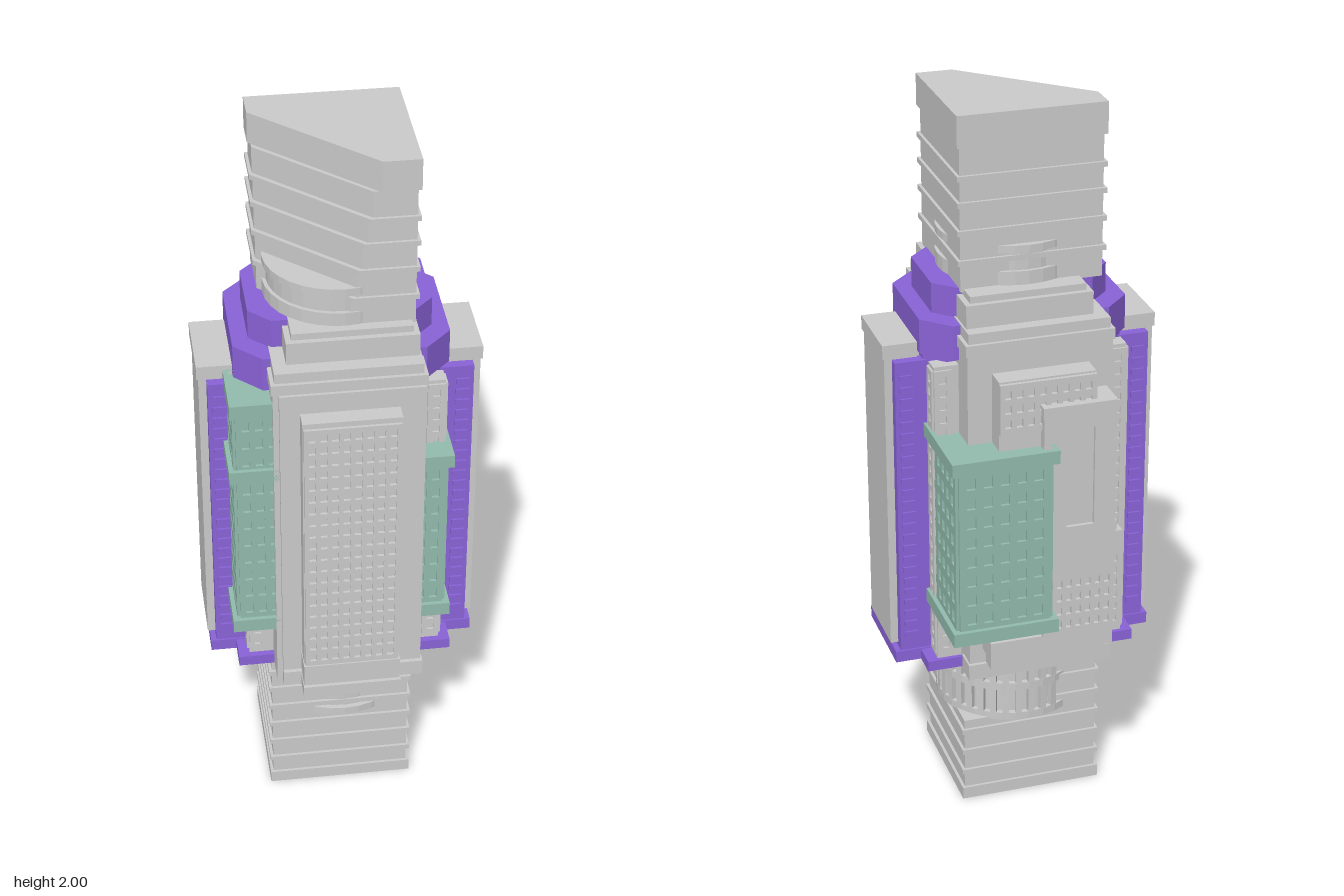
import * as THREE from 'three';

const grey = new THREE.MeshStandardMaterial({ color: 0xcccccc, flatShading: true });
const purple = new THREE.MeshStandardMaterial({ color: 0x8a63d8, flatShading: true });
const green = new THREE.MeshStandardMaterial({ color: 0x93bcae, flatShading: true });

export function createModel() {
  const model = new THREE.Group();
  model.name = 'tower';

  const add = (name, geo, mat) => {
    const m = new THREE.Mesh(geo, mat);
    m.name = name;
    model.add(m);
    return m;
  };
  // box given by its ranges in x, y and z
  const box = (name, mat, [x0, x1], [y0, y1], [z0, z1]) => {
    const a = Math.min(x0, x1), b = Math.max(x0, x1);
    const g = new THREE.BoxGeometry(b - a, y1 - y0, Math.abs(z1 - z0));
    add(name, g, mat).position.set((a + b) / 2, (y0 + y1) / 2, (z0 + z1) / 2);
  };
  // upright prism from an (x, z) outline, optionally with a hole
  const prism = (name, mat, pts, y0, y1, hole) => {
    const flip = (l) => l.map(([x, z]) => new THREE.Vector2(x, -z));
    const s = new THREE.Shape(flip(pts));
    if (hole) s.holes.push(new THREE.Path(flip(hole)));
    const g = new THREE.ExtrudeGeometry(s, { depth: y1 - y0, bevelEnabled: false });
    g.rotateX(-Math.PI / 2).translate(0, y0, 0);
    add(name, g, mat);
  };
  const rect = (x0, x1, z0, z1, i = 0) =>
    [[x0 + i, z0 + i], [x1 - i, z0 + i], [x1 - i, z1 - i], [x0 + i, z1 - i]];
  // window grid: bars standing proud of a wall on the plane x = at or z = at
  const facade = (name, mat, axis, at, depth, [u0, u1], [y0, y1], nu, ny, fill = 0.45) => {
    const put = (u, y) => axis === 'z'
      ? box(name, mat, u, y, [at, at + depth])
      : box(name, mat, [at, at + depth], y, u);
    const du = (u1 - u0) / (nu + fill), dy = (y1 - y0) / (ny + fill);
    for (let i = 0; i <= nu; i++) put([u0 + i * du, u0 + (i + fill) * du], [y0, y1]);
    for (let j = 0; j <= ny; j++) put([u0, u1], [y0 + j * dy, y0 + (j + fill) * dy]);
  };
  // tray with a raised rim
  const tray = (name, mat, x, y, z) => {
    box(name, mat, x, [y[0], y[1] - 0.015], z);
    prism(name + 'Rim', mat, rect(...x, ...z), y[1] - 0.015, y[1], rect(...x, ...z, 0.012));
  };

  // lower shaft, with its back corner cut away for the round gallery
  const X0 = -0.21, X1 = 0.187, Z0 = -0.152, Z1 = 0.22;
  const shaft = (cut, i) => [[X0 + i, Z0 + i], [X1 - i - cut, Z0 + i],
    [X1 - i, Z0 + i + cut], [X1 - i, Z1 - i], [X0 + i, Z1 - i]];
  prism('lowerShaft', grey, rect(X0, X1, Z0, Z1, 0.008), 0, 0.25);
  prism('lowerShaft', grey, shaft(0.17, 0.008), 0.25, 0.46);
  box('footBand', grey, [X0, X1], [0, 0.035], [Z0, Z1]);
  for (const y of [0.08, 0.145, 0.21]) prism('lowerBand', grey, rect(X0, X1, Z0, Z1), y, y + 0.014);
  for (const y of [0.275, 0.34, 0.4]) prism('lowerBand', grey, shaft(0.17, 0), y, y + 0.014);

  // round galleries
  const ring = (name, r, y0, y1) =>
    add(name, new THREE.CylinderGeometry(r, r, y1 - y0, 32), grey).position.set(0, (y0 + y1) / 2, 0.028);
  ring('lowerGallery', 0.19, 0.25, 0.46);
  for (const y of [0.245, 0.34, 0.43]) ring('lowerGalleryRing', 0.204, y, y + 0.022);
  for (let i = 0; i < 14; i++) {
    const a = -0.35 + (i / 13) * 2.3;
    const p = add('galleryPost', new THREE.BoxGeometry(0.02, 0.2, 0.018), grey);
    p.position.set(Math.cos(a) * 0.193, 0.35, 0.028 - Math.sin(a) * 0.193);
    p.rotation.y = a;
  }
  ring('upperGallery', 0.18, 1.53, 1.645);
  ring('upperGalleryRing', 0.19, 1.53, 1.575);
  ring('upperGalleryRing', 0.19, 1.625, 1.645);

  // upper shaft: the slanting cut at the front corner deepens in steps
  const spire = (y, i) => {
    const t = (y - 1.53) / 0.47;
    return [[X0 + i, Z0 + i], [X1 - i, Z0 + i], [X1 - i, Z1 - i],
      [0.005 + 0.085 * t + i, Z1 - i], [X0 + i, 0.02 - 0.09 * t - i]];
  };
  const steps = [1.53, 1.61, 1.69, 1.765, 1.835, 1.915];
  steps.forEach((y, k) => {
    if (k < 5) prism('upperShaft', grey, spire(y, 0.008), y, steps[k + 1]);
    if (k > 0 && k < 5) prism('upperBand', grey, spire(y, 0), y - 0.007, y + 0.007);
  });
  prism('shaftCap', grey, spire(2, 0), 1.915, 2);

  // main block and crown tiers
  box('mainBlock', grey, [-0.195, 0.195], [0.455, 1.43], [-0.255, 0.3]);
  prism('mainCornice', grey, rect(-0.2, 0.2, -0.26, 0.305), 1.4, 1.43);
  prism('mainCornice', grey, rect(-0.19, 0.19, -0.25, 0.295), 1.43, 1.458);
  prism('crownTier', grey, rect(-0.155, 0.185, -0.215, 0.255), 1.45, 1.52);
  prism('crownTier', grey, rect(-0.14, 0.17, -0.2, 0.24), 1.52, 1.538);

  // front slab with window grid
  box('frontPanel', grey, [-0.18, 0.195], [0.5, 1.4], [0.3, 0.313]);
  box('frontBase', grey, [-0.18, 0.2], [0.455, 0.5], [0.3, 0.325]);
  box('frontBase', grey, [-0.132, 0.132], [0.455, 0.49], [0.3, 0.382]);
  box('frontBase', grey, [-0.13, 0.13], [0.49, 0.555], [0.3, 0.372]);
  box('frontSlab', grey, [-0.128, 0.128], [0.555, 1.345], [0.3, 0.36]);
  facade('frontWindows', grey, 'z', 0.36, 0.008, [-0.125, 0.125], [0.555, 1.33], 8, 20, 0.4);

  // back slabs and stepped underside
  box('backSlab', grey, [-0.13, 0.13], [0.62, 1.345], [-0.315, -0.255]);
  facade('backSlabWindows', grey, 'z', -0.315, -0.01, [-0.13, 0.13], [1.2, 1.34], 8, 3);
  box('backWing', grey, [-0.178, 0.018], [0.6, 1.24], [-0.332, -0.255]);
  box('backWingCap', grey, [-0.18, 0.02], [1.24, 1.27], [-0.345, -0.255]);
  const wing = [-0.178, 0.018], hole = [-0.12, -0.045];
  box('panelFrame', grey, [wing[0], hole[0]], [0.78, 1.24], [-0.342, -0.332]);
  box('panelFrame', grey, [hole[1], wing[1]], [0.78, 1.24], [-0.342, -0.332]);
  box('panelFrame', grey, hole, [0.78, 0.92], [-0.342, -0.332]);
  box('panelFrame', grey, hole, [1.2, 1.24], [-0.342, -0.332]);
  facade('backWindows', grey, 'z', -0.332, -0.01, wing, [0.6, 0.78], 7, 4);
  box('backStep', grey, [-0.18, 0.16], [0.545, 0.6], [-0.335, -0.255]);
  box('backStep', grey, [-0.17, 0.15], [0.5, 0.545], [-0.3, -0.255]);
  box('backStep', grey, [-0.2, 0.2], [0.455, 0.5], [-0.265, -0.2]);
  box('cornerLamp', grey, [-0.21, -0.18], [0.76, 0.88], [-0.272, -0.24]);
  box('cornerLamp', grey, [-0.225, -0.17], [0.8, 0.85], [-0.275, -0.225]);

  // side wings, mirrored
  for (const s of [1, -1]) {
    const X = (a, b) => [s * a, s * b];
    const oct = (x, xi, z0, z1, c) => {
      const p = [[xi, z0], [x - c, z0], [x, z0 + c], [x, z1 - c], [x - c, z1], [xi, z1]];
      return p.map(([a, z]) => [s * a, z]);
    };
    prism('sideColumn', purple, oct(0.27, 0.15, -0.15, 0.185, 0.05), 0.455, 1.37);
    prism('sideCrown', purple, oct(0.28, 0.15, -0.18, 0.218, 0.07), 1.36, 1.455);
    prism('sideCrownTier', purple, oct(0.237, 0.14, -0.13, 0.17, 0.055), 1.45, 1.537);
    box('sidePier', purple, X(0.2, 0.347), [0.455, 1.34], [-0.11, 0.148]);
    box('sideBase', purple, X(0.15, 0.362), [0.455, 0.488], [-0.115, 0.153]);
    box('sideBase', purple, X(0.15, 0.292), [0.455, 0.485], [-0.187, 0.228]);
    // grey outer slab with edge teeth
    box('sideSlab', grey, X(0.28, 0.368), [0.5, 1.35], [-0.083, 0.122]);
    box('sideSlabCap', grey, X(0.275, 0.373), [1.345, 1.383], [-0.088, 0.127]);
    for (let i = 0; i < 24; i++) {
      const y = 0.53 + i * 0.033;
      box('pierTooth', purple, X(0.3, 0.335), [y, y + 0.015], [-0.116, 0.154]);
    }
    // narrow corner strips
    for (const [z0, z1, d] of [[0.165, 0.21, 1], [-0.175, -0.13, -1]]) {
      box('cornerStrip', grey, X(0.19, 0.262), [0.485, 1.345], [z0, z1]);
      facade('cornerStripWindows', grey, 'z', d > 0 ? z1 : z0, d * 0.006,
        [s > 0 ? 0.215 : -0.262, s > 0 ? 0.262 : -0.215], [0.5, 1.335], 1, 22);
      facade('cornerStripWindows', grey, 'x', s * 0.262, s * 0.006, [z0, z1], [0.5, 1.335], 1, 22);
    }
  }

  // green balcony blocks: body, cornices and windows on the outward faces
  const balcony = (x, z, y, faces, ny) => {
    const [x0, x1] = x, [z0, z1] = z, i = 0.02;
    const bx = [x0 + i, x1 - i], bz = [z0 + i, z1 - i];
    box('balconyBlock', green, bx, y, bz);
    for (const f of faces) {
      const alongX = f[1] === 'z', d = f[0] === '+' ? 0.008 : -0.008;
      const span = alongX ? bx : bz, other = alongX ? bz : bx;
      const n = Math.max(2, Math.round((span[1] - span[0]) / 0.045));
      facade('balconyWindows', green, f[1], other[d > 0 ? 1 : 0], d, span, y, n, ny);
    }
  };
  const blocks = [
    [[-0.012, 0.275], [-0.385, -0.12], ['+x', '-x', '-z']],
    [[0.15, 0.275], [0.165, 0.3], ['+x', '+z']],
    [[-0.31, -0.15], [0.12, 0.3], ['-x', '+z']],
  ];
  for (const [x, z, faces] of blocks) {
    balcony(x, z, [0.665, 1.14], faces, 8);
    box('balconyFoot', green, x, [0.637, 0.675], z);
    tray('balconyCornice', green, x, [1.13, 1.167], z);
  }
  const [lx, lz, lf] = blocks[2];
  balcony(lx, lz, [1.15, 1.34], lf, 3);
  tray('balconyCornice', green, [-0.305, -0.15], [1.33, 1.37], [0.125, 0.296]);

  return model;
}
